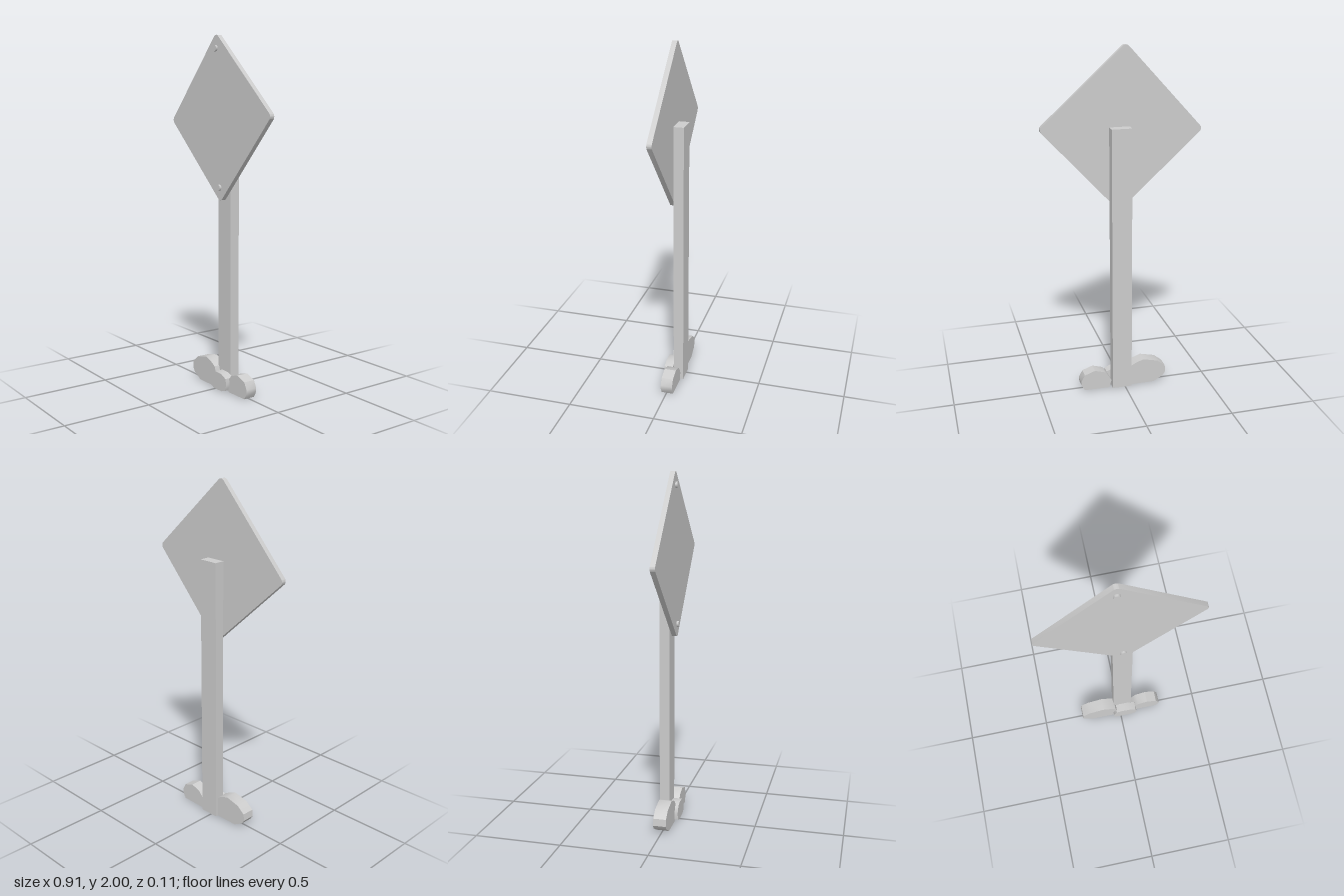
import * as THREE from 'three';
import { toCreasedNormals } from 'three/addons/utils/BufferGeometryUtils.js';

const grey = new THREE.MeshStandardMaterial({ color: 0xcccccc });
grey.name = 'plain grey';

export function createModel() {
  const model = new THREE.Group();
  model.name = 'signpost';

  const add = (name, geometry, x = 0, y = 0, z = 0) => {
    const mesh = new THREE.Mesh(geometry, grey);
    mesh.name = name;
    mesh.position.set(x, y, z);
    model.add(mesh);
    return mesh;
  };
  const slab = (shape, depth) => toCreasedNormals(
    new THREE.ExtrudeGeometry(shape, { depth, bevelEnabled: false, curveSegments: 4 }), 0.6);

  // Square wooden post
  add('post', new THREE.BoxGeometry(0.115, 1.56, 0.058), 0.018, 0.78, -0.026);

  // Rounded square board, hung slightly off the diagonal
  const h = 0.328, r = 0.025, k = h - r;
  const board = new THREE.Shape();
  [0, 1, 2, 3].forEach((i) => {
    const a = i * Math.PI / 2, c = Math.cos(a), s = Math.sin(a);
    board.absarc(k * (c - s), k * (s + c), r, a, a + Math.PI / 2, false);
  });
  board.closePath();
  add('signBoard', slab(board, 0.028), 0, 1.545, 0.005).rotation.z = -42.5 * Math.PI / 180;

  // Bolts at the top and bottom corners
  for (const [name, x, y] of [['topBolt', -0.019, 1.926], ['bottomBolt', 0.015, 1.162]]) {
    const bolt = new THREE.CylinderGeometry(0.017, 0.017, 0.018, 10).rotateX(Math.PI / 2);
    add(name, bolt, x, y, 0.036);
  }

  // Flat stones around the foot of the post: outline, back z, front z
  const stones = [
    ['rightStone', -0.039, 0.035, [[-0.18, 0.003], [-0.045, 0.003], [-0.022, 0.04], [-0.022, 0.09],
      [-0.034, 0.122], [-0.065, 0.14], [-0.116, 0.159], [-0.205, 0.138], [-0.25, 0.101], [-0.254, 0.06],
      [-0.238, 0.036]]],
    ['leftStone', -0.039, 0.029, [[0.093, 0.003], [0.242, 0.005], [0.262, 0.04], [0.262, 0.062],
      [0.241, 0.102], [0.18, 0.124], [0.12, 0.106], [0.098, 0.08], [0.08, 0.05]]],
    ['frontStone', 0.003, 0.054, [[-0.012, 0.003], [0.06, 0.003], [0.093, 0.014], [0.105, 0.05],
      [0.099, 0.086], [0.058, 0.104], [0, 0.106], [-0.028, 0.095], [-0.048, 0.058], [-0.044, 0.015]]],
  ];
  for (const [name, back, front, points] of stones) {
    const outline = new THREE.Shape(points.map(([x, y]) => new THREE.Vector2(x, y - 0.003)));
    add(name, slab(outline, front - back), 0, 0, back);
  }
  return model;
}
